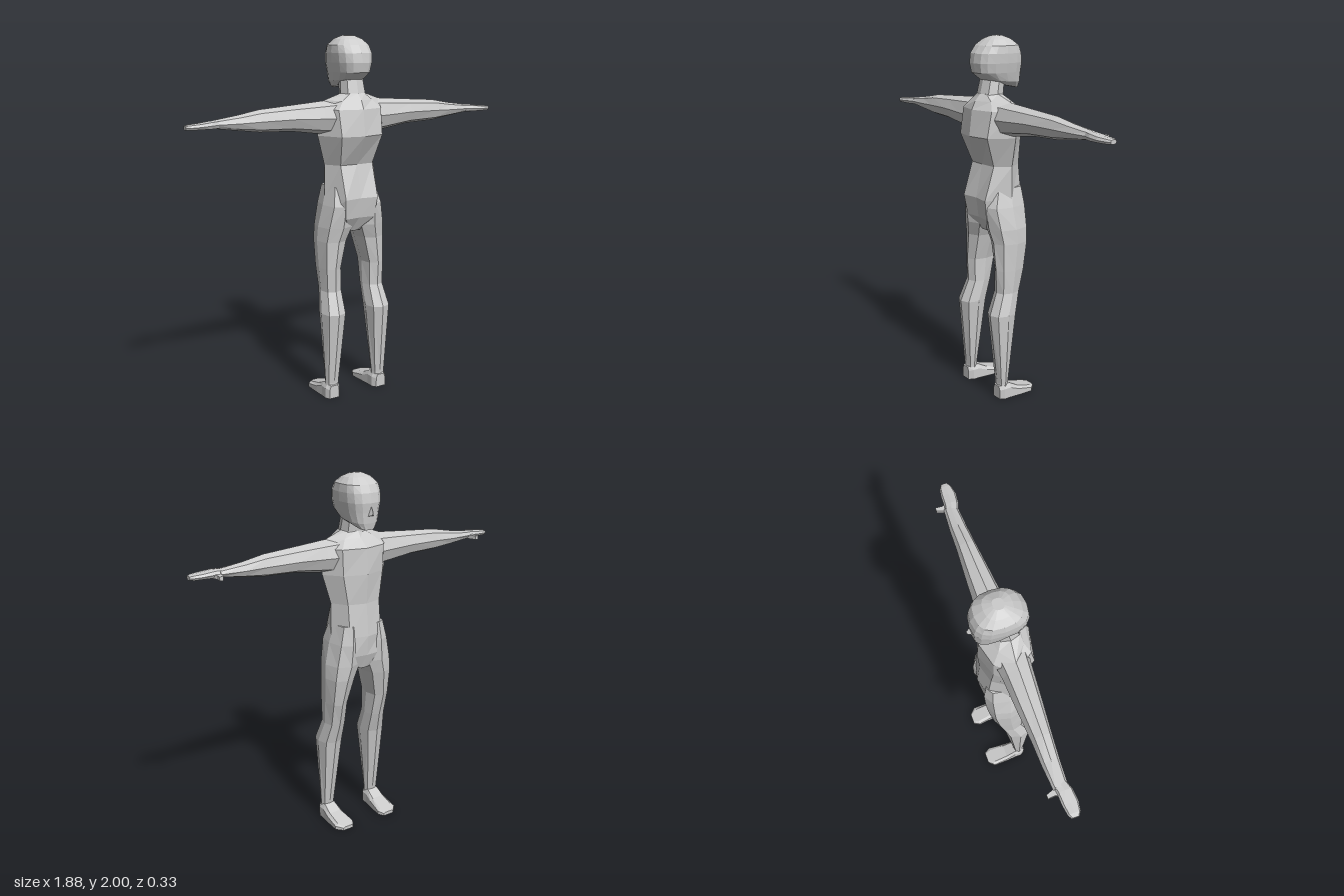
import * as THREE from 'three';

const material = new THREE.MeshStandardMaterial({ color: 0xcccccc, flatShading: true });

// Skins a list of equal-length point rings, closes both ends and faces outward
function loft(name, rings) {
  const tris = [];
  const n = rings[0].length;
  for (let r = 0; r < rings.length - 1; r++) {
    for (let i = 0; i < n; i++) {
      const j = (i + 1) % n;
      const a = rings[r][i], b = rings[r][j], c = rings[r + 1][j], d = rings[r + 1][i];
      tris.push([a, b, c], [a, c, d]);
    }
  }
  const cap = (ring, flip) => {
    const mid = ring.reduce((s, p) => s.add(p), new THREE.Vector3()).divideScalar(n);
    ring.forEach((p, i) => {
      const q = ring[(i + 1) % n];
      tris.push(flip ? [mid, q, p] : [mid, p, q]);
    });
  };
  cap(rings[0], true);
  cap(rings[rings.length - 1], false);
  // a negative volume means the winding is inside out
  const cross = new THREE.Vector3();
  const volume = tris.reduce((s, [a, b, c]) => s + a.dot(cross.crossVectors(b, c)), 0);
  const points = tris.flatMap(([a, b, c]) => (volume < 0 ? [a, c, b] : [a, b, c]));
  const geometry = new THREE.BufferGeometry().setFromPoints(points);
  geometry.computeVertexNormals();
  const mesh = new THREE.Mesh(geometry, material);
  mesh.name = name;
  return mesh;
}

// Rounded polygon between two limits on each axis; k below 1 makes it boxier
function section(n, k, u0, u1, v0, v1, place) {
  const ring = [];
  for (let i = 0; i < n; i++) {
    const t = (i / n) * Math.PI * 2;
    const soft = (x) => (Math.abs(x) < 1e-6 ? 0 : Math.sign(x) * Math.abs(x) ** k);
    ring.push(place(
      (u0 + u1) / 2 + ((u1 - u0) / 2) * soft(Math.cos(t)),
      (v0 + v1) / 2 + ((v1 - v0) / 2) * soft(Math.sin(t))));
  }
  return ring;
}

const V = (x, y, z) => new THREE.Vector3(x, y, z);

function makeTorso() {
  // y, half width, corner x, then z of spine, back corner, flank, front corner, front
  const rows = [
    [0.95, 0.05, 0.03, 0.07, 0.065, 0, -0.09, -0.095],
    [1.03, 0.165, 0.09, 0.11, 0.12, 0, -0.11, -0.12],
    [1.14, 0.155, 0.1, 0.125, 0.138, 0, -0.105, -0.13],
    [1.32, 0.155, 0.1, 0.085, 0.08, 0, -0.085, -0.112],
    [1.48, 0.2, 0.125, 0.167, 0.14, 0.01, -0.08, -0.122],
    [1.62, 0.2, 0.13, 0.15, 0.115, 0.01, -0.08, -0.112],
    [1.665, 0.17, 0.09, 0.128, 0.09, 0.02, -0.04, -0.055],
    [1.7, 0.07, 0.045, 0.095, 0.085, 0.03, -0.01, -0.03],
  ];
  return loft('torso', rows.map(([y, w, c, zb, zbc, zs, zfc, zf]) => [
    V(0, y, zb), V(c, y, zbc), V(w, y, zs), V(c, y, zfc),
    V(0, y, zf), V(-c, y, zfc), V(-w, y, zs), V(-c, y, zbc),
  ]));
}

function makeNeck() {
  // y, half width, front z, back z
  const rows = [[1.66, 0.08, -0.035, 0.1], [1.7, 0.07, -0.032, 0.095], [1.8, 0.062, -0.045, 0.07]];
  return loft('neck', rows.map(([y, w, zf, zb]) =>
    section(8, 0.8, -w, w, zf, zb, (x, z) => V(x, y, z))));
}

function makeHead() {
  // y at the face, y at the back, half width, front z, back z
  const rows = [
    [1.72, 1.74, 0.045, -0.137, -0.04],
    [1.755, 1.772, 0.078, -0.143, 0.075],
    [1.81, 1.81, 0.092, -0.147, 0.128],
    [1.86, 1.86, 0.102, -0.152, 0.137],
    [1.91, 1.91, 0.105, -0.144, 0.13],
    [1.95, 1.95, 0.1, -0.125, 0.1],
    [1.983, 1.98, 0.07, -0.08, 0.06],
    [2, 1.997, 0.03, -0.035, 0.02],
  ];
  return loft('head', rows.map(([yf, yb, w, zf, zb]) =>
    section(16, 0.75, -w, w, zf, zb, (x, z) =>
      V(x, THREE.MathUtils.mapLinear(z, zf, zb, yf, yb), z))));
}

function makeNose() {
  return loft('nose', [
    [V(-0.02, 1.79, -0.135), V(0.02, 1.79, -0.135), V(0, 1.86, -0.14)],
    [V(-0.006, 1.8, -0.166), V(0.006, 1.8, -0.166), V(0, 1.815, -0.166)],
  ]);
}

// side is +1 for the +x limb and -1 for its mirror image
function makeArm(side) {
  const arm = new THREE.Group();
  arm.name = side > 0 ? 'armPlusX' : 'armMinusX';
  const along = (rows, n, k) => rows.map(([x, y0, y1, z0, z1]) =>
    section(n, k, z0, z1, y0, y1, (z, y) => V(side * x, y, z)));
  // x, bottom y, top y, front z, back z
  arm.add(loft('sleeveAndForearm', along([
    [0.1, 1.48, 1.67, -0.07, 0.11],
    [0.2, 1.492, 1.662, -0.058, 0.1],
    [0.36, 1.515, 1.65, -0.05, 0.085],
    [0.54, 1.522, 1.637, -0.038, 0.068],
    [0.66, 1.538, 1.615, -0.034, 0.058],
    [0.79, 1.556, 1.597, -0.025, 0.05],
  ], 8, 0.95)));
  arm.add(loft('hand', along([
    [0.77, 1.555, 1.598, -0.022, 0.05],
    [0.81, 1.555, 1.597, -0.015, 0.063],
    [0.87, 1.557, 1.59, -0.012, 0.069],
    [0.92, 1.557, 1.586, -0.004, 0.06],
    [0.94, 1.56, 1.582, 0.008, 0.046],
  ], 8, 0.7)));
  // thumb: z, inner x, outer x
  arm.add(loft('thumb', [[0.01, 0.77, 0.83], [-0.025, 0.785, 0.815], [-0.062, 0.798, 0.818]].map(([z, a, b]) =>
    [V(side * a, 1.557, z), V(side * b, 1.557, z), V(side * b, 1.578, z), V(side * a, 1.578, z)])));
  return arm;
}

function makeLeg(side) {
  const leg = new THREE.Group();
  leg.name = side > 0 ? 'legPlusX' : 'legMinusX';
  // y, inner x, outer x, front z, back z
  const rows = [
    [0.04, 0.115, 0.193, 0.038, 0.095],
    [0.09, 0.113, 0.193, 0.036, 0.095],
    [0.5, 0.075, 0.212, -0.02, 0.137],
    [0.62, 0.078, 0.192, -0.052, 0.088],
    [0.75, 0.08, 0.196, -0.085, 0.092],
    [0.9, 0.04, 0.2, -0.112, 0.095],
    [0.98, 0.005, 0.195, -0.12, 0.112],
    [1.1, 0.015, 0.168, -0.124, 0.128],
    [1.2, 0.03, 0.14, -0.11, 0.09],
  ];
  leg.add(loft('thighAndCalf', rows.map(([y, a, b, zf, zb]) =>
    section(8, 0.85, a, b, zf, zb, (x, z) => V(side * x, y, z)))));
  // foot: z, inner x, outer x, height
  const foot = [
    [0.1, 0.125, 0.185, 0.075],
    [0.075, 0.108, 0.2, 0.085],
    [0.035, 0.107, 0.2, 0.085],
    [-0.02, 0.1, 0.205, 0.055],
    [-0.11, 0.09, 0.208, 0.03],
    [-0.145, 0.11, 0.175, 0.02],
  ];
  leg.add(loft('foot', foot.map(([z, a, b, h]) => {
    const inset = (b - a) * 0.15;
    return [V(side * a, 0, z), V(side * b, 0, z), V(side * b, h * 0.7, z),
      V(side * (b - inset), h, z), V(side * (a + inset), h, z), V(side * a, h * 0.7, z)];
  })));
  return leg;
}

export function createModel() {
  const figure = new THREE.Group();
  figure.name = 'figure';
  figure.add(makeTorso(), makeNeck(), makeHead(), makeNose());
  for (const side of [1, -1]) figure.add(makeArm(side), makeLeg(side));
  return figure;
}
